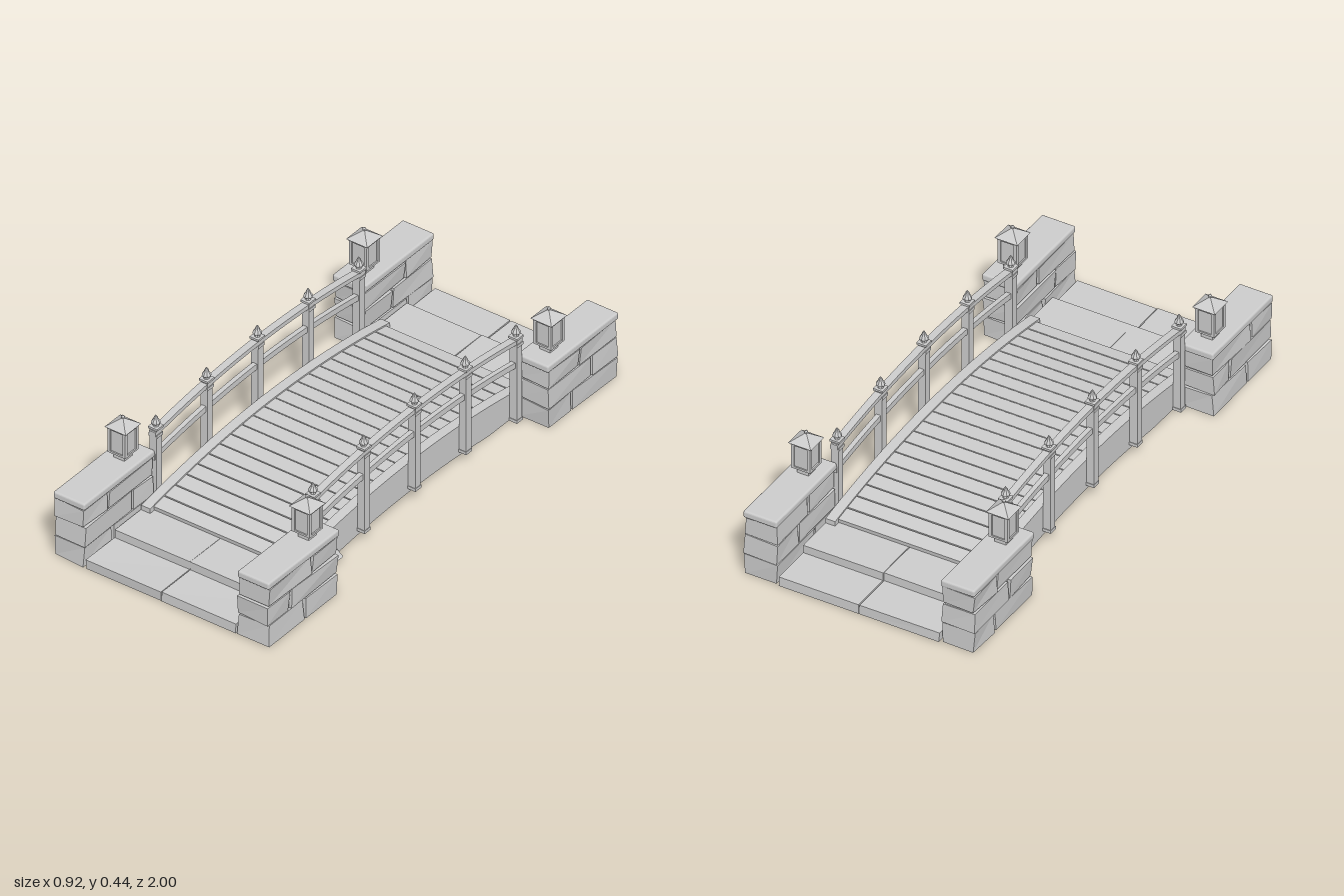
import * as THREE from 'three';
import { RoundedBoxGeometry } from 'three/addons/geometries/RoundedBoxGeometry.js';

const flat = new THREE.MeshStandardMaterial({ color: 0xcccccc, flatShading: true, side: THREE.DoubleSide });

// Seeded random so the masonry is irregular but repeatable
let seed = 7;
const rand = () => (seed = (seed * 16807) % 2147483647) / 2147483647;

// Height lost along the arch at distance z from the crown
const drop = (z) => 0.134 * z * z;

function add(parent, name, geometry, x = 0, y = 0, z = 0) {
  const mesh = new THREE.Mesh(geometry, flat);
  mesh.name = name;
  mesh.position.set(x, y, z);
  parent.add(mesh);
  return mesh;
}

const box = (w, h, d) => new THREE.BoxGeometry(w, h, d);

// Hand-cut stone between two corners; each corner is pulled inward a little
function stone(x0, x1, y0, y1, z0, z1, jitter) {
  const g = box(x1 - x0, y1 - y0, z1 - z0);
  g.translate((x0 + x1) / 2, (y0 + y1) / 2, (z0 + z1) / 2);
  const mid = [(x0 + x1) / 2, (y0 + y1) / 2, (z0 + z1) / 2];
  const shifts = Array.from({ length: 8 }, () => [rand() * jitter, rand() * jitter * 0.5, rand() * jitter]);
  const p = g.attributes.position;
  for (let i = 0; i < p.count; i++) {
    const c = [p.getX(i), p.getY(i), p.getZ(i)];
    const signs = c.map((v, k) => (v > mid[k] ? 1 : -1));
    const s = shifts[(signs[0] > 0) + 2 * (signs[1] > 0) + 4 * (signs[2] > 0)];
    const onGround = c[1] < 0.001;
    p.setXYZ(i, ...c.map((v, k) => (k === 1 && onGround ? v : v - signs[k] * s[k])));
  }
  // Stones on the ground are open underneath
  if (y0 === 0) {
    const index = Array.from(g.index.array);
    index.splice(18, 6);
    g.setIndex(index);
    g.clearGroups();
  }
  g.computeVertexNormals();
  return g;
}

// Beam following the arch, with a bottom edge that never sinks below ground
function archBeam(width, top, bottom, end) {
  const pts = [];
  const n = 24;
  for (let i = 0; i <= n; i++) {
    const z = -end + (2 * end * i) / n;
    pts.push(new THREE.Vector2(z, top - drop(z)));
  }
  for (let i = n; i >= 0; i--) {
    const z = -end + (2 * end * i) / n;
    pts.push(new THREE.Vector2(z, Math.max(0.002, bottom - drop(z))));
  }
  const g = new THREE.ExtrudeGeometry(new THREE.Shape(pts), { depth: width, bevelEnabled: false });
  return g.translate(0, 0, -width / 2).rotateY(-Math.PI / 2);
}

function lathe(points, sides) {
  return new THREE.LatheGeometry(points.map(([r, y]) => new THREE.Vector2(r, y)), sides);
}

function makeLantern() {
  const g = new THREE.Group();
  g.name = 'lantern';
  add(g, 'lanternFoot', box(0.046, 0.026, 0.046), 0, 0.277, 0);
  add(g, 'lanternBase', box(0.076, 0.008, 0.076), 0, 0.293, 0);
  add(g, 'lanternPanes', box(0.066, 0.1, 0.066), 0, 0.343, 0);
  for (const x of [-1, 1])
    for (const z of [-1, 1]) add(g, 'lanternCorner', box(0.012, 0.1, 0.012), x * 0.032, 0.343, z * 0.032);
  add(g, 'lanternTop', box(0.078, 0.008, 0.078), 0, 0.389, 0);
  const roof = new THREE.ConeGeometry(0.045 * Math.SQRT2, 0.032, 4).rotateY(Math.PI / 4);
  add(g, 'lanternRoof', roof, 0, 0.41, 0);
  add(g, 'lanternFinial', new THREE.SphereGeometry(0.007, 8, 6), 0, 0.429, 0);
  add(g, 'lanternTip', new THREE.ConeGeometry(0.003, 0.008, 6), 0, 0.436, 0);
  return g;
}

// Railing post at crown height, with collars and a pointed finial
function makePost() {
  const g = new THREE.Group();
  g.name = 'railingPost';
  add(g, 'postShaft', box(0.03, 0.345, 0.03), 0, 0.2225, 0);
  add(g, 'postFoot', box(0.034, 0.012, 0.034), 0, 0.052, 0);
  add(g, 'lowerCollar', box(0.036, 0.012, 0.036), 0, 0.367, 0);
  add(g, 'upperCollar', box(0.038, 0.008, 0.038), 0, 0.396, 0);
  const finial = lathe([[0.011, 0.398], [0.009, 0.406], [0.017, 0.412], [0.016, 0.418],
    [0.009, 0.429], [0.007, 0.436], [0.001, 0.445]], 8);
  add(g, 'postFinial', finial);
  return g;
}

// Masonry end wall at one corner; splits give the joint position of each course
function makeWall(sx, sz, splits) {
  const g = new THREE.Group();
  g.name = 'endWall';
  const courses = [0, 0.083, 0.164, 0.238];
  const [x0, x1] = sx > 0 ? [0.322, 0.46] : [-0.46, -0.322];
  splits.forEach((split, i) => {
    for (const [a, b] of [[0.6, split], [split, 1]]) {
      const [z0, z1] = sz > 0 ? [a, b] : [-b, -a];
      add(g, 'wallStone', stone(x0, x1, courses[i], courses[i + 1], z0, z1, 0.01));
    }
  });
  add(g, 'wallCore', box(0.108, 0.14, 0.375), sx * 0.391, 0.16, sz * 0.8);
  add(g, 'wallCap', new RoundedBoxGeometry(0.134, 0.028, 0.404, 2, 0.007), sx * 0.392, 0.251, sz * 0.798);
  const lantern = makeLantern();
  lantern.position.set(sx * 0.392, 0, sz * 0.69);
  g.add(lantern);
  return g;
}

export function createModel() {
  const model = new THREE.Group();
  model.name = 'footbridge';

  // Side girders, railings and posts
  for (const s of [-1, 1]) {
    add(model, 'girder', archBeam(0.038, 0.151, 0.028, 0.685), s * 0.299);
    add(model, 'upperRail', archBeam(0.028, 0.388, 0.371, 0.6), s * 0.334);
    add(model, 'lowerRail', archBeam(0.018, 0.294, 0.271, 0.6), s * 0.334);
    for (let i = -2; i <= 2; i++) {
      const post = makePost();
      post.position.set(s * 0.334, -drop(i * 0.29), i * 0.29);
      model.add(post);
    }
  }

  // Deck boards laid along the arch
  const pitch = 1.33 / 21;
  for (let i = -10; i <= 10; i++) {
    const z = i * pitch;
    const board = add(model, 'deckBoard', box(0.562, 0.016, pitch - 0.004), 0, 0.137 - drop(z), z);
    board.rotation.x = Math.atan(0.268 * z);
  }
  // Joists under the boards
  for (let i = -4; i <= 4; i++) {
    const z = i * pitch * 2;
    add(model, 'joist', box(0.562, 0.034, 0.03), 0, 0.113 - drop(z), z);
  }

  // Stepped stone approaches and end walls
  const joints = [[0.79, 0.87, 0.75], [0.83, 0.72, 0.86], [0.74, 0.85, 0.78], [0.85, 0.76, 0.84]];
  let corner = 0;
  for (const sz of [1, -1]) {
    for (const sx of [1, -1]) {
      const [x0, x1] = sx > 0 ? [0, 0.32] : [-0.32, 0];
      const range = (a, b) => (sz > 0 ? [a, b] : [-b, -a]);
      add(model, 'lowerStep', stone(x0, x1, 0, 0.038, ...range(0.83, 1), 0.003));
      add(model, 'upperStep', stone(x0, x1, 0, 0.07, ...range(0.59, 0.835), 0.003));
      model.add(makeWall(sx, sz, joints[corner++]));
    }
    // Loose rocks on the bank below the deck
    for (let i = -2; i <= 2; i++) {
      const rock = add(model, 'rock', new THREE.IcosahedronGeometry(0.06, 0), i * 0.12, 0.025, sz * (0.5 + rand() * 0.05));
      rock.scale.set(1, 0.4, 0.8);
      rock.rotation.y = rand() * 6;
    }
  }
  const strayRock = add(model, 'rock', new THREE.IcosahedronGeometry(0.06, 0), 0.305, 0.016, 0.47);
  strayRock.scale.set(1, 0.25, 1.1);
  return model;
}
